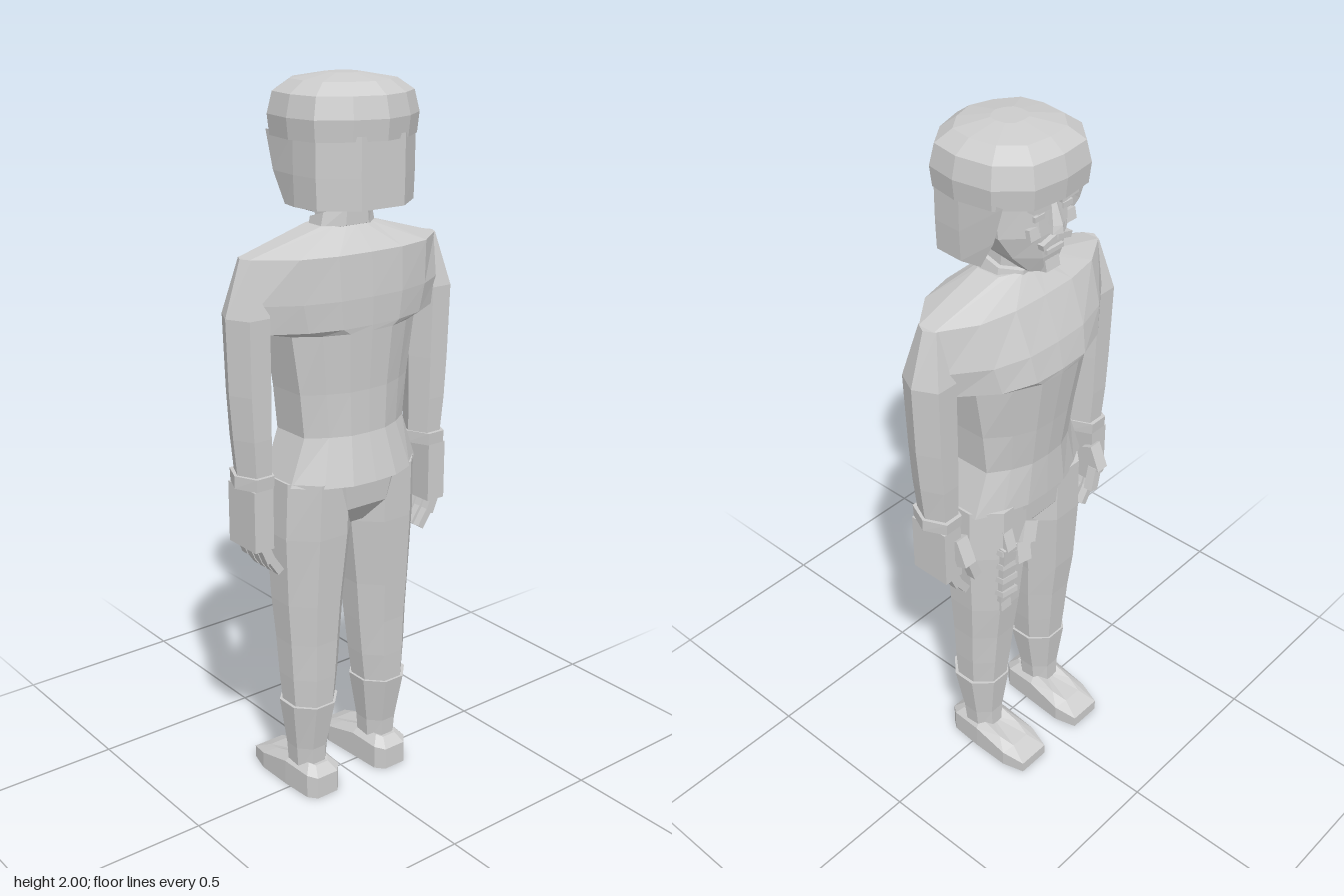
import * as THREE from 'three';

const grey = new THREE.MeshStandardMaterial({ color: 0xcccccc, flatShading: true, side: THREE.DoubleSide });
grey.name = 'plain grey';

// Skin a stack of rings (listed upward, points turning from +x to +z).
// mirror flips x; open leaves the strip unclosed and without caps.
function loft(name, rings, { mirror = false, open = false } = {}) {
  const rs = rings.map(r => mirror ? r.map(([x, y, z]) => [-x, y, z]).reverse() : r);
  const n = rs[0].length, pos = [];
  for (let i = 0; i < rs.length - 1; i++) {
    for (let j = 0; j < (open ? n - 1 : n); j++) {
      const k = (j + 1) % n, a = rs[i], b = rs[i + 1];
      pos.push(...a[j], ...b[j], ...a[k], ...b[j], ...b[k], ...a[k]);
    }
  }
  const cap = (r, up) => {
    const c = [0, 1, 2].map(d => r.reduce((s, p) => s + p[d], 0) / n);
    for (let j = 0; j < n; j++) {
      const p = r[j], q = r[(j + 1) % n];
      pos.push(...c, ...(up ? q : p), ...(up ? p : q));
    }
  };
  if (!open) { cap(rs[0], false); cap(rs[rs.length - 1], true); }
  const g = new THREE.BufferGeometry();
  g.setAttribute('position', new THREE.Float32BufferAttribute(pos, 3));
  g.computeVertexNormals();
  const m = new THREE.Mesh(g, grey);
  m.name = name;
  return m;
}

// Elliptical ring with n sides, fitted between the given extents
function oval(y, x0, x1, z0, z1, n = 8, turn = 0.5) {
  const f = turn ? 1 / Math.cos(Math.PI / n) : 1;
  return Array.from({ length: n }, (_, i) => {
    const a = (i + turn) / n * Math.PI * 2;
    return [(x0 + x1) / 2 + f * (x1 - x0) / 2 * Math.cos(a), y, (z0 + z1) / 2 + f * (z1 - z0) / 2 * Math.sin(a)];
  });
}

// Torso ring: half width, back depth, chest depth, half depth of the flank
function bodyRing(y, w, back, chest, s) {
  const half = (z, sg) => [[w, y, sg * s], [w * 0.68, y, z * 0.8], [w * 0.34, y, z], [0, y, z * 1.03]];
  const b = half(back, 1), c = half(chest, -1);
  const flip = p => [-p[0], p[1], p[2]];
  return [...b, ...b.slice(0, 3).reverse().map(flip), ...c.slice(0, 3).map(flip), ...c.slice().reverse()];
}

function box(name, w, h, d, x, y, z, rx = 0, rz = 0) {
  const m = new THREE.Mesh(new THREE.BoxGeometry(w, h, d), grey);
  m.name = name;
  m.position.set(x, y, z);
  m.rotation.set(rx, 0, rz);
  return m;
}

function makeHead() {
  const g = new THREE.Group();
  g.name = 'head';
  // Padded cap
  const plan = [[0.185, 0.02], [0.168, 0.11], [0.09, 0.166], [0, 0.193], [-0.09, 0.166], [-0.168, 0.11],
    [-0.185, 0.02], [-0.168, -0.085], [-0.1, -0.158], [0, -0.17], [0.1, -0.158], [0.168, -0.085]];
  g.add(loft('cap', [[1.847, 0.97], [1.9, 1], [1.955, 0.93], [1.985, 0.7], [2, 0.24]].map(
    ([y, s]) => plan.map(([x, z]) => [x * s, y, 0.01 + (z - 0.01) * s]))));
  // Hanging neck flap, open around the face
  const flap = (y, zf, s) => [[0.155, zf], [0.166, 0.02], [0.16, 0.105], [0.07, 0.172], [-0.07, 0.172],
    [-0.16, 0.105], [-0.166, 0.02], [-0.155, zf]].map(([x, z]) => [x * s, y, z]);
  g.add(loft('neckFlap', [flap(1.68, -0.035, 0.98), flap(1.76, -0.08, 1), flap(1.86, -0.11, 1)], { open: true }));
  // Skull and jaw
  g.add(loft('face', [oval(1.645, -0.045, 0.045, -0.12, -0.03), oval(1.69, -0.085, 0.085, -0.128, 0.05),
    oval(1.75, -0.12, 0.12, -0.13, 0.1), oval(1.87, -0.13, 0.13, -0.125, 0.11)]));
  g.add(loft('nose', [oval(1.755, -0.024, 0.024, -0.158, -0.11, 6), oval(1.775, -0.02, 0.02, -0.155, -0.11, 6),
    oval(1.83, -0.01, 0.01, -0.135, -0.11, 6)]));
  g.add(box('lips', 0.06, 0.012, 0.02, 0, 1.705, -0.128));
  g.add(box('chin', 0.05, 0.03, 0.025, 0, 1.66, -0.117, 0.2));
  for (const s of [-1, 1]) {
    g.add(box('brow', 0.06, 0.014, 0.02, s * 0.05, 1.828, -0.128, 0, s * 0.12));
    g.add(box('eye', 0.035, 0.014, 0.008, s * 0.05, 1.803, -0.127));
    g.add(box('moustache', 0.05, 0.016, 0.018, s * 0.027, 1.733, -0.135, 0, -s * 0.25));
    g.add(box('cheek', 0.035, 0.03, 0.014, s * 0.065, 1.765, -0.122, 0.2));
  }
  // Neck and tilted collar
  g.add(loft('neck', [oval(1.58, -0.07, 0.07, -0.05, 0.07), oval(1.72, -0.065, 0.065, -0.06, 0.05)]));
  const collar = (y, r) => oval(y, -r, r, -0.065, 0.07).map(([x, yy, z]) => [x, yy + z * 0.3, z]);
  g.add(loft('collar', [collar(1.605, 0.09), collar(1.65, 0.08)]));
  return g;
}

function makeArm(mirror) {
  const s = mirror ? -1 : 1, g = new THREE.Group();
  g.name = mirror ? 'rightArm' : 'leftArm';
  const ring = (y, x, rx, rz) => oval(y, x - rx, x + rx, -rz, rz, 6, 0);
  g.add(loft('sleeve', [ring(0.99, 0.292, 0.048, 0.06), ring(1.1, 0.297, 0.054, 0.066), ring(1.22, 0.3, 0.06, 0.068),
    ring(1.42, 0.303, 0.062, 0.072), ring(1.565, 0.285, 0.033, 0.035)], { mirror }));
  g.add(loft('cuff', [ring(0.965, 0.295, 0.055, 0.07), ring(1.0, 0.295, 0.055, 0.073)], { mirror }));
  // Hand with fingers curling inward
  g.add(box('palm', 0.06, 0.17, 0.12, s * 0.3, 0.88, 0));
  for (let i = 0; i < 4; i++) {
    const z = 0.047 - i * 0.031;
    g.add(box('fingerBase', 0.028, 0.06, 0.025, s * 0.29, 0.785, z, 0, -s * 0.4));
    g.add(box('fingerTip', 0.022, 0.055, 0.022, s * 0.262, 0.742, z, 0, -s * 0.6));
  }
  g.add(box('thumbBase', 0.04, 0.08, 0.035, s * 0.275, 0.885, -0.068, 0.4));
  g.add(box('thumbTip', 0.028, 0.07, 0.028, s * 0.255, 0.825, -0.08, 0.05, -s * 0.3));
  return g;
}

function makeLeg(mirror) {
  const g = new THREE.Group();
  g.name = mirror ? 'rightLeg' : 'leftLeg';
  g.add(loft('trouserLeg', [oval(0.27, 0.057, 0.193, -0.06, 0.085), oval(0.37, 0.045, 0.2, -0.07, 0.09),
    oval(0.48, 0.035, 0.205, -0.08, 0.093), oval(0.6, 0.025, 0.213, -0.095, 0.1),
    oval(0.8, 0.0, 0.222, -0.108, 0.112), oval(0.96, 0.0, 0.218, -0.108, 0.118)], { mirror }));
  g.add(loft('bootShaft', [oval(0.06, 0.08, 0.175, -0.05, 0.06), oval(0.14, 0.073, 0.182, -0.05, 0.065),
    oval(0.285, 0.048, 0.203, -0.067, 0.093)], { mirror }));
  // Shoe: sole outline with the height falling toward the toe
  const sole = [[0.187, -0.02], [0.18, 0.075], [0.16, 0.1], [0.09, 0.1], [0.068, 0.075], [0.062, -0.02],
    [0.055, -0.13], [0.072, -0.195], [0.17, -0.195], [0.188, -0.13]];
  const upper = [0.075, 0.07, 0.065, 0.065, 0.07, 0.075, 0.05, 0.035, 0.035, 0.05];
  g.add(loft('shoe', [sole.map(([x, z]) => [x, 0, z]), sole.map(([x, z], i) => [x, upper[i], z]),
    sole.map(([x, z], i) => [0.125 + (x - 0.125) * 0.6, upper[i] + 0.025, z * 0.72])], { mirror }));
  return g;
}

// Holstered sidearm hanging on the front of the left thigh
function makeHolster() {
  const g = new THREE.Group();
  g.name = 'holster';
  g.add(box('holsterPouch', 0.05, 0.2, 0.045, 0.14, 0.74, -0.09, -0.08));
  g.add(box('holsterTip', 0.04, 0.06, 0.04, 0.14, 0.63, -0.08, 0.1));
  g.add(box('grip', 0.035, 0.11, 0.05, 0.14, 0.88, -0.085, 0.3));
  for (let i = 0; i < 4; i++) g.add(box('strap', 0.06, 0.016, 0.055, 0.14, 0.67 + i * 0.05, -0.09, 0.15, 0.15));
  // Loose gear beside it
  for (const [x, y, z, r] of [[0.06, 0.84, -0.1, 0.5], [0.03, 0.78, -0.06, -0.4], [0.09, 0.79, -0.105, 0.2]])
    g.add(box('pouch', 0.05, 0.06, 0.04, x, y, z, 0.3, r));
  return g;
}

export function createModel() {
  const model = new THREE.Group();
  model.name = 'standingFigure';
  // Jacket
  model.add(loft('jacket', [bodyRing(0.95, 0.215, 0.15, -0.122, 0.06), bodyRing(1.08, 0.168, 0.12, -0.122, 0.06),
    bodyRing(1.2, 0.18, 0.12, -0.138, 0.06), bodyRing(1.36, 0.205, 0.13, -0.163, 0.06),
    bodyRing(1.375, 0.27, 0.131, -0.165, 0.055), bodyRing(1.45, 0.295, 0.133, -0.15, 0.05),
    bodyRing(1.565, 0.305, 0.127, -0.105, 0.025), bodyRing(1.625, 0.09, 0.065, -0.06, 0.035)]));
  // Hips
  model.add(loft('hips', [oval(0.81, -0.08, 0.08, -0.06, 0.07), oval(0.87, -0.16, 0.16, -0.105, 0.115),
    oval(0.96, -0.2, 0.2, -0.11, 0.125)]));
  for (const mirror of [false, true]) model.add(makeArm(mirror), makeLeg(mirror));
  model.add(makeHead(), makeHolster());
  return model;
}
